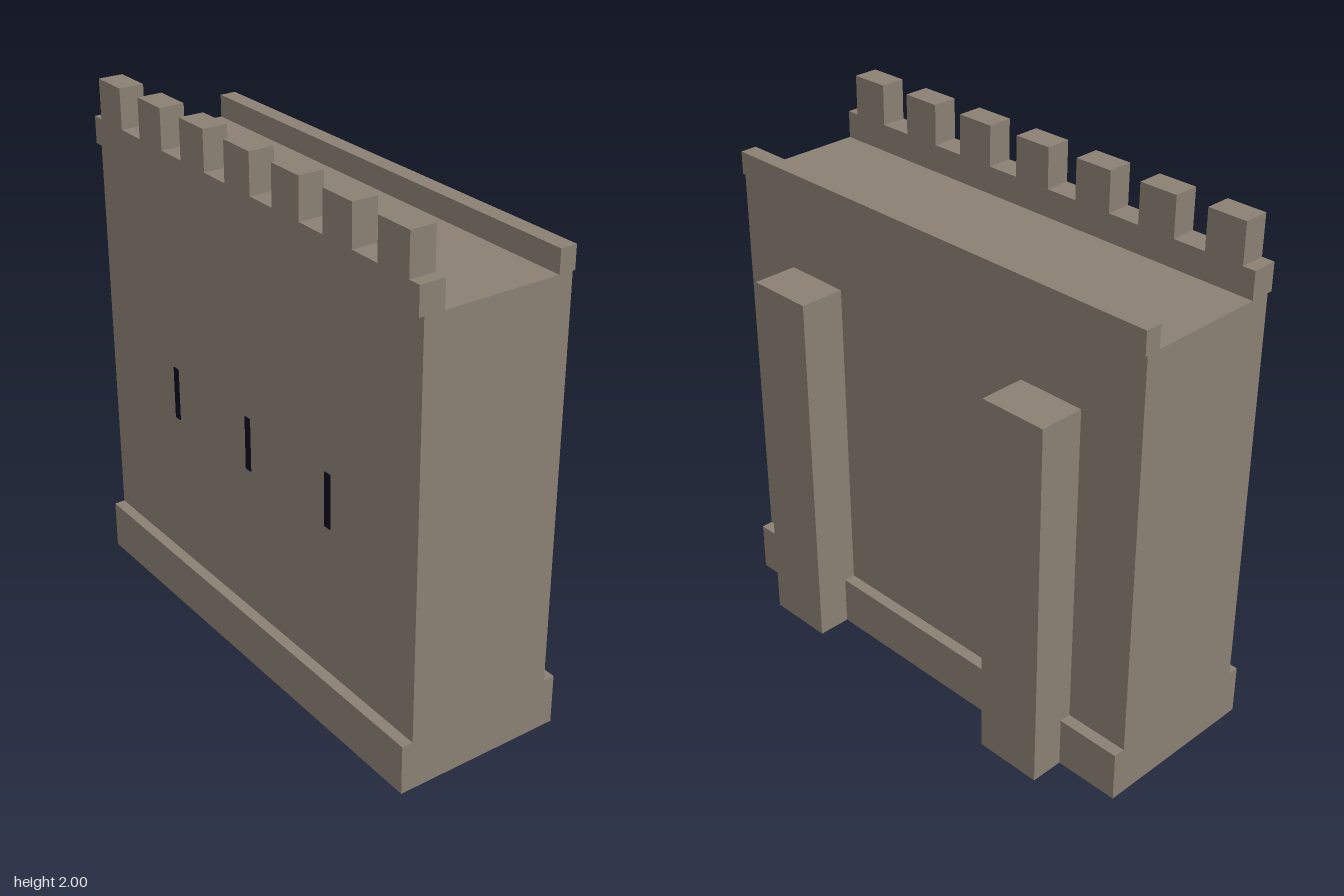
import * as THREE from 'three';

export function createModel() {
  const stone = new THREE.MeshStandardMaterial({ color: 0x8a8073 });
  stone.name = 'stone';
  const dark = new THREE.MeshStandardMaterial({ color: 0x0a0a1e });
  dark.name = 'slit dark';

  const model = new THREE.Group();
  model.name = 'castleWall';

  // Box given by its extents on each axis
  function block(name, [x0, x1], [y0, y1], [z0, z1], material = stone) {
    const mesh = new THREE.Mesh(new THREE.BoxGeometry(x1 - x0, y1 - y0, z1 - z0), material);
    mesh.position.set((x0 + x1) / 2, (y0 + y1) / 2, (z0 + z1) / 2);
    mesh.name = name;
    model.add(mesh);
  }

  const span = [-0.965, 0.965];

  // Plinth and wall body
  block('plinth', span, [0, 0.195], [-0.27, 0.4]);
  block('wallBody', span, [0.195, 1.743], [-0.225, 0.357]);

  // Parapets along both edges of the walkway
  block('frontParapet', span, [1.743, 1.847], [0.28, 0.377]);
  block('rearParapet', span, [1.743, 1.83], [-0.235, -0.17]);

  // Merlons on the front parapet
  for (let i = -3; i <= 3; i++) {
    const x = i * 0.28;
    block('merlon', [x - 0.076, x + 0.076], [1.847, 2], [0.28, 0.377]);
  }

  // Buttresses against the back
  for (const x of [-0.579, 0.579]) {
    block('buttress', [x - 0.132, x + 0.132], [0, 1.45], [-0.4, -0.22]);
  }

  // Arrow slits on the front
  for (const x of [-0.483, 0, 0.483]) {
    block('arrowSlit', [x - 0.015, x + 0.015], [0.787, 0.997], [0.354, 0.361], dark);
  }

  return model;
}
